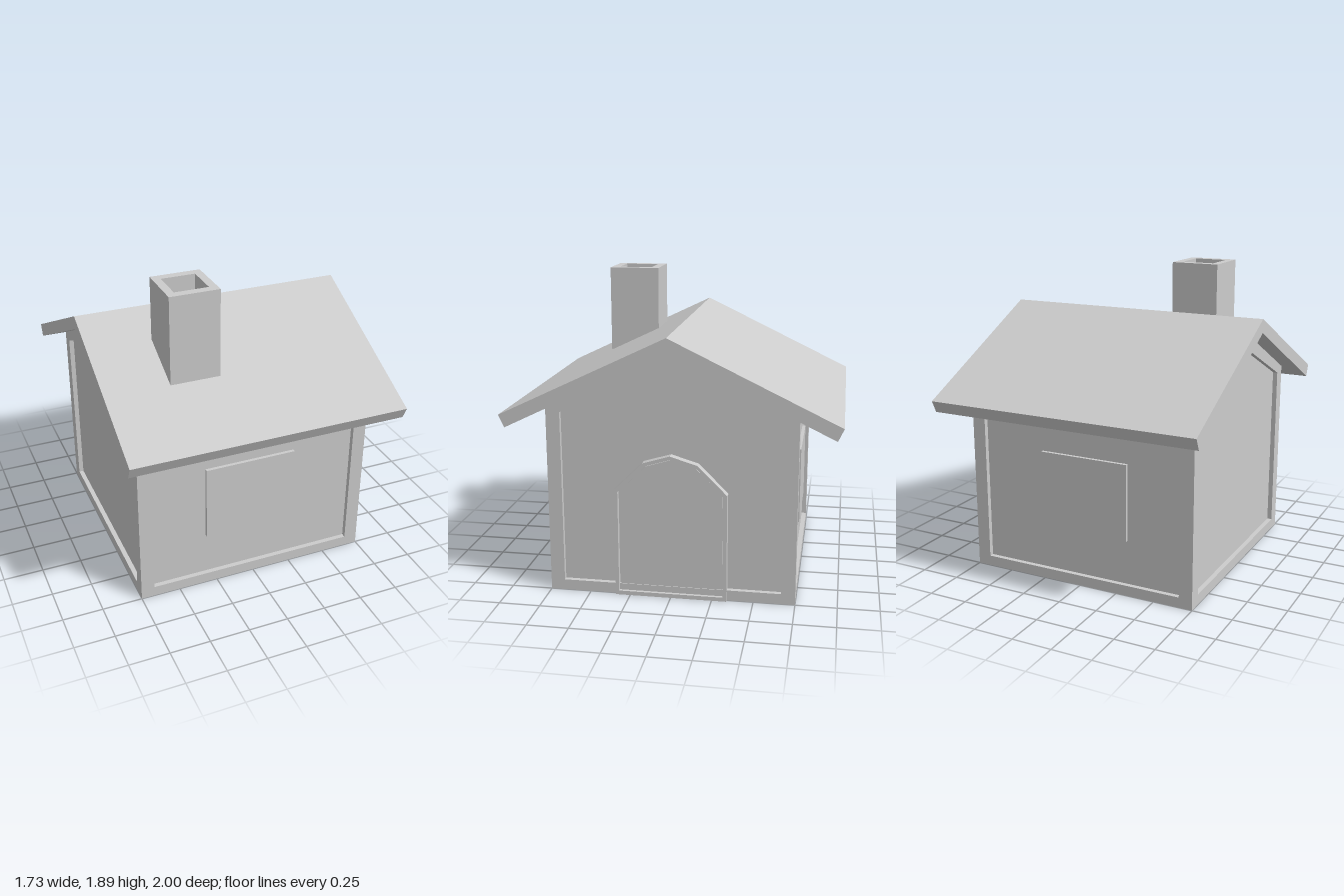
import * as THREE from 'three';

const grey = new THREE.MeshStandardMaterial({ color: 0xcccccc, flatShading: true });

const toPoints = (pts) => pts.map(([u, v]) => new THREE.Vector2(u, v));

// Half outline (from bottom to apex) mirrored into a closed, symmetric one
const mirrored = (half) => [
  ...half,
  ...half.filter(([u]) => u > 0).reverse().map(([u, v]) => [-u, v]),
];

const rect = (x0, x1, y0, y1) => [[x0, y0], [x1, y0], [x1, y1], [x0, y1]];

function extrude(outline, depth, hole) {
  const shape = new THREE.Shape(toPoints(outline));
  if (hole) shape.holes.push(new THREE.Path(toPoints(hole)));
  return new THREE.ExtrudeGeometry(shape, { depth, bevelEnabled: false });
}

export function createModel() {
  const model = new THREE.Group();
  const add = (name, geometry, parent = model) => {
    const mesh = new THREE.Mesh(geometry, grey);
    mesh.name = name;
    parent.add(mesh);
    return mesh;
  };
  // Profile in (z, y), extruded along x from x0 to x1
  const alongX = (outline, x0, x1, hole) =>
    extrude(outline, x1 - x0, hole).rotateY(Math.PI / 2).translate(x0, 0, 0);

  // Recessed wall core with a gabled profile
  add('wallCore', alongX(mirrored([[0.72, 0], [0.72, 1.174], [0, 1.525]]), -0.72, 0.72));

  // Raised timber frames on the gable ends and the long walls
  const gable = mirrored([[0.75, 0], [0.75, 1.16], [0, 1.525]]);
  const gablePanel = mirrored([[0.665, 0.065], [0.665, 1.13], [0, 1.43]]);
  for (const side of [1, -1]) {
    const end = side > 0 ? 'left' : 'right';
    const face = side > 0 ? 'front' : 'back';
    add(`${end}GableFrame`, alongX(gable, side > 0 ? 0.72 : -0.75, side > 0 ? 0.75 : -0.72, gablePanel));

    const z = side > 0 ? 0.72 : -0.75;
    add(`${face}WallFrame`, extrude(rect(-0.72, 0.72, 0, 1.16), 0.03,
      rect(-0.665, 0.665, 0.065, 1.1)).translate(0, 0, z));

    // Window slab standing slightly proud of the recessed wall
    add(`${face}Window`, new THREE.BoxGeometry(0.58, 0.48, 0.04).translate(-0.025, 0.585, side * 0.721));
  }

  // Arched door: surround and inset panel
  const door = new THREE.Group();
  door.name = 'door';
  model.add(door);
  const arch = mirrored([[0.34, 0], [0.34, 0.67], [0.165, 0.845], [0, 0.895]]);
  const opening = mirrored([[0.318, 0.025], [0.318, 0.66], [0.158, 0.826], [0, 0.874]]);
  const leaf = mirrored([[0.31, 0.032], [0.31, 0.657], [0.153, 0.818], [0, 0.865]]);
  add('doorSurround', alongX(arch, 0.715, 0.77, opening), door);
  add('doorBacking', alongX(opening, 0.715, 0.735), door);
  add('doorLeaf', alongX(leaf, 0.715, 0.745), door);

  // Pitched roof slab with eaves cut square to the slope
  add('roof', alongX([
    [0, 1.61], [-1, 1.13], [-0.965, 1.055], [0, 1.525], [0.965, 1.055], [1, 1.13],
  ], -0.865, 0.865));

  // Chimney with an open flue
  const chimney = new THREE.Group();
  chimney.name = 'chimney';
  chimney.position.set(-0.31, 1.34, 0.4);
  model.add(chimney);
  add('chimneyStack', extrude(rect(-0.155, 0.155, -0.16, 0.16), 0.55,
    rect(-0.105, 0.105, -0.107, 0.107)).rotateX(-Math.PI / 2), chimney);
  add('flueFloor', new THREE.BoxGeometry(0.21, 0.02, 0.214).translate(0, 0.42, 0), chimney);

  return model;
}
